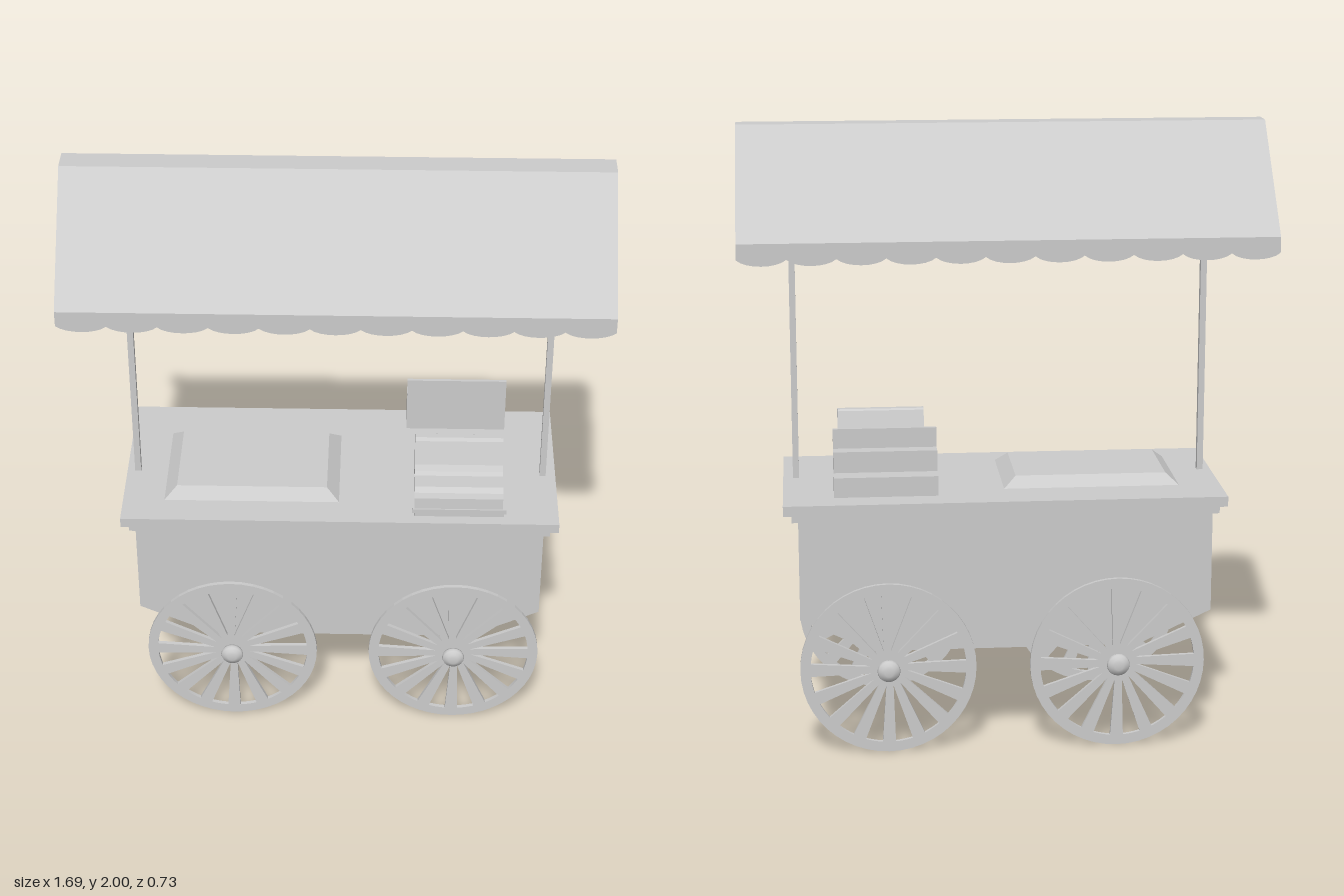
import * as THREE from 'three';

const flat = new THREE.MeshStandardMaterial({ color: 0xcccccc, flatShading: true });
const sheet = new THREE.MeshStandardMaterial({ color: 0xcccccc, flatShading: true, side: THREE.DoubleSide });
const smooth = new THREE.MeshStandardMaterial({ color: 0xcccccc });

function add(parent, name, geometry, material = flat) {
  const mesh = new THREE.Mesh(geometry, material);
  mesh.name = name;
  parent.add(mesh);
  return mesh;
}

// Box given by its limits on each axis
function box(parent, name, [x0, x1], [y0, y1], [z0, z1]) {
  const g = new THREE.BoxGeometry(x1 - x0, y1 - y0, z1 - z0);
  g.translate((x0 + x1) / 2, (y0 + y1) / 2, (z0 + z1) / 2);
  return add(parent, name, g);
}

const shapeOf = pts => new THREE.Shape(pts.map(([a, b]) => new THREE.Vector2(a, b)));

// Side profile of [z, y] points, extruded along x
function sideProfile(pts, x0, x1) {
  const g = new THREE.ExtrudeGeometry(shapeOf(pts.map(([z, y]) => [-z, y])), { depth: x1 - x0, bevelEnabled: false });
  return g.rotateY(Math.PI / 2).translate(x0, 0, 0);
}

// Flat wheel disc with wedge-shaped gaps between its spokes
function wheelGeometry(radius, thickness, spokes) {
  const disc = new THREE.Shape().absarc(0, 0, radius, 0, Math.PI * 2);
  const inner = 0.06, outer = 0.25, step = Math.PI * 2 / spokes;
  for (let i = 0; i < spokes; i++) {
    const a = (i + 0.5) * step;
    const gap = new THREE.Path();
    gap.moveTo(inner * Math.cos(a - 0.06), inner * Math.sin(a - 0.06));
    gap.absarc(0, 0, outer, a - 0.112, a + 0.112, false);
    gap.lineTo(inner * Math.cos(a + 0.06), inner * Math.sin(a + 0.06));
    gap.closePath();
    disc.holes.push(gap);
  }
  return new THREE.ExtrudeGeometry(disc, { depth: thickness, bevelEnabled: false, curveSegments: 24 })
    .translate(0, 0, -thickness / 2);
}

// Hanging strip with a scalloped lower edge
function valanceGeometry(x0, x1, count) {
  const s = new THREE.Shape();
  const w = (x1 - x0) / count;
  s.moveTo(x1, 1.67);
  s.lineTo(x0, 1.67);
  s.lineTo(x0, 1.62);
  for (let i = 0; i < count; i++) {
    const x = x0 + i * w;
    s.bezierCurveTo(x + 0.2 * w, 1.593, x + 0.8 * w, 1.593, x + w, 1.62);
  }
  return new THREE.ShapeGeometry(s, 8);
}

export function createModel() {
  const cart = new THREE.Group();
  cart.name = 'vendorCart';

  // Body with sloping ends underneath
  const body = new THREE.ExtrudeGeometry(
    shapeOf([[-0.42, 0.34], [0.44, 0.34], [0.67, 0.45], [0.67, 0.78], [-0.655, 0.78], [-0.655, 0.45]]),
    { depth: 0.58, bevelEnabled: false });
  add(cart, 'body', body.translate(0, 0, -0.31));

  // Stepped counter
  box(cart, 'counterTrim', [-0.675, 0.69], [0.778, 0.802], [-0.325, 0.283]);
  box(cart, 'counterTop', [-0.7, 0.717], [0.802, 0.835], [-0.335, 0.294]);

  // Bevelled lid: a box whose upper corners are drawn in
  const lid = new THREE.BoxGeometry(0.57, 0.034, 0.37);
  const p = lid.attributes.position;
  for (let i = 0; i < p.count; i++) {
    if (p.getY(i) > 0) {
      p.setX(i, p.getX(i) - Math.sign(p.getX(i)) * 0.04);
      p.setZ(i, p.getZ(i) - Math.sign(p.getZ(i)) * 0.035);
    }
  }
  add(cart, 'lid', lid).position.set(-0.28, 0.852, 0.005);

  // Cash register on a two-layer plinth
  const register = new THREE.Group();
  register.name = 'cashRegister';
  cart.add(register);
  box(register, 'plinthFoot', [0.25, 0.54], [0.835, 0.85], [0.05, 0.257]);
  box(register, 'plinth', [0.243, 0.547], [0.85, 0.866], [0.045, 0.262]);
  add(register, 'registerBody', sideProfile([
    [0.257, 0.866], [0.255, 0.905], [0.247, 0.922], [0.231, 0.935], [0.172, 0.935], [0.157, 0.942],
    [0.145, 0.96], [0.12, 1.035], [0.112, 1.045], [0.092, 1.045], [0.085, 1.04], [0.05, 0.935], [0.05, 0.866],
  ], 0.25, 0.535));

  // Stepped display stand facing the back
  add(cart, 'displaySteps', sideProfile([
    [-0.199, 0.856], [-0.199, 1.052], [-0.21, 1.052], [-0.21, 0.988],
    [-0.257, 0.988], [-0.257, 0.92], [-0.32, 0.92], [-0.32, 0.856],
  ], 0.225, 0.555));

  // Wheels, hubs and axles
  const wheelGeo = wheelGeometry(0.283, 0.013, 16);
  const hubGeo = new THREE.LatheGeometry([
    [0, -0.018], [0.022, -0.017], [0.034, -0.009], [0.037, 0], [0.034, 0.008], [0.022, 0.014], [0.014, 0.018], [0, 0.018],
  ].map(([r, y]) => new THREE.Vector2(r, y)), 20).rotateX(Math.PI / 2);
  for (const x of [-0.35, 0.39]) {
    for (const side of [1, -1]) {
      const z = -0.018 + side * 0.305;
      const wheel = new THREE.Group();
      wheel.name = 'wheel';
      wheel.position.set(x, 0.286, z);
      wheel.rotation.y = side > 0 ? 0 : Math.PI;
      cart.add(wheel);
      add(wheel, 'spokedRim', wheelGeo);
      add(wheel, 'hub', hubGeo, smooth).position.z = 0.031;
    }
    const axle = new THREE.CylinderGeometry(0.014, 0.014, 0.64, 12).rotateX(Math.PI / 2);
    add(cart, 'axle', axle, smooth).position.set(x, 0.288, -0.018);
    box(cart, 'axleBracket', [x - 0.023, x + 0.023], [0.275, 0.345], [-0.036, 0.01]);
  }

  // Canopy poles reaching the ridge
  for (const x of [-0.665, 0.675]) {
    box(cart, 'canopyPole', [x - 0.01, x + 0.01], [0.77, 1.998], [0.01, 0.032]);
  }

  // Canopy sheet: back slope, flat ridge, front slope
  const canopy = new THREE.Group();
  canopy.name = 'canopy';
  cart.add(canopy);
  const X0 = -0.848, X1 = 0.843;
  const section = [[-0.33, 1.67], [-0.023, 2], [0.057, 2], [0.36, 1.67]];
  ['backSlope', 'ridge', 'frontSlope'].forEach((name, i) => {
    const [za, ya] = section[i], [zb, yb] = section[i + 1];
    const g = new THREE.BufferGeometry();
    g.setAttribute('position', new THREE.Float32BufferAttribute(
      [X0, ya, za, X0, yb, zb, X1, yb, zb, X1, ya, za], 3));
    g.setIndex([0, 1, 2, 0, 2, 3]);
    g.computeVertexNormals();
    add(canopy, name, g, sheet);
  });

  // Scalloped valances along both eaves
  const valance = valanceGeometry(X0, X1, 11);
  add(canopy, 'frontValance', valance, sheet).position.z = 0.36;
  add(canopy, 'backValance', valance, sheet).position.z = -0.33;

  return cart;
}
